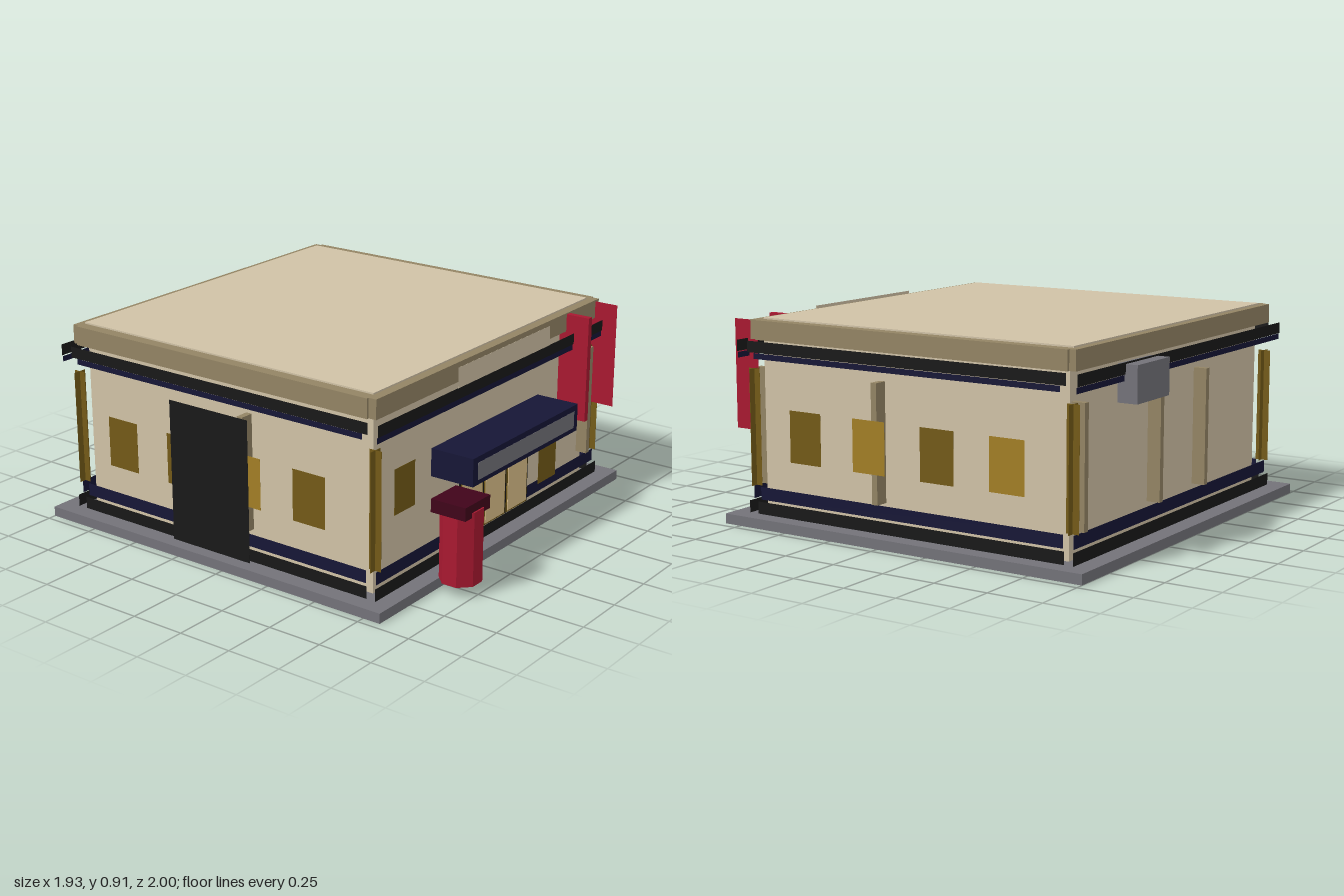
import * as THREE from 'three';

const mat = (name, color) => {
  const m = new THREE.MeshStandardMaterial({ color });
  m.name = name;
  return m;
};

export function createModel() {
  const beige = mat('beige render', 0xd0c2a6);
  const stone = mat('brown stone', 0x938464);
  const grey = mat('concrete grey', 0x737279);
  const black = mat('black trim', 0x181818);
  const navy = mat('navy trim', 0x161636);
  const red = mat('red sign', 0xa81830);
  const maroon = mat('maroon cap', 0x40041a);
  const gold = mat('dark gold', 0x735a17);
  const lit = mat('lit window gold', 0xa27e25);
  const tan = mat('door glass tan', 0xdcbf8a);

  const model = new THREE.Group();
  model.name = 'storeBuilding';

  // Box given by its extents
  const box = (name, m, x0, x1, y0, y1, z0, z1) => {
    const mesh = new THREE.Mesh(new THREE.BoxGeometry(x1 - x0, y1 - y0, z1 - z0), m);
    mesh.position.set((x0 + x1) / 2, (y0 + y1) / 2, (z0 + z1) / 2);
    mesh.name = name;
    model.add(mesh);
  };
  // Very thin plates facing z or x
  const T = 0.0003;
  const plateZ = (name, m, x0, x1, y0, y1, z) => box(name, m, x0, x1, y0, y1, z - T, z + T);
  const plateX = (name, m, x, y0, y1, z0, z1) => box(name, m, x - T, x + T, y0, y1, z0, z1);
  const CZ = -0.08; // building centre in z

  // Four plates round the building: half widths hx, hz and offsets ox, oz
  const ring = (name, m, y0, y1, hx, hz, ox, oz) => {
    for (const s of [-1, 1]) {
      plateZ(name + (s > 0 ? 'Front' : 'Back'), m, -hx, hx, y0, y1, CZ + s * oz);
      plateX(name + (s > 0 ? 'Left' : 'Right'), m, s * ox, y0, y1, CZ - hz, CZ + hz);
    }
  };

  // Ground slab, walls and trim bands
  box('groundSlab', grey, -0.963, 0.963, 0, 0.045, -1, 0.833);
  box('walls', beige, -0.83, 0.83, 0.045, 0.9, -0.86, 0.702);
  ring('plinth', black, 0.045, 0.1, 0.888, 0.79, 0.885, 0.835);
  ring('lowerBand', navy, 0.108, 0.165, 0.868, 0.78, 0.875, 0.825);
  ring('upperBand', navy, 0.74, 0.765, 0.914, 0.78, 0.905, 0.86);
  ring('cornice', black, 0.768, 0.818, 0.914, 0.81, 0.91, 0.865);

  // Parapet and roof
  box('parapet', stone, -0.87, 0.87, 0.82, 0.906, -0.91, 0.744);
  box('parapetSides', stone, -0.882, 0.882, 0.82, 0.906, -0.88, 0.707);
  box('roof', beige, -0.83, 0.83, 0.9, 0.913, -0.877, 0.702);
  plateZ('parapetSign', beige, -0.362, 0.36, 0.82, 0.91, 0.79);

  // Corner pilasters, each of two crossed plates
  for (const sx of [-1, 1]) for (const sz of [-1, 1]) {
    const x = sx * 0.861, z = CZ + sz * 0.815;
    plateZ('pilasterAcross', gold, x - 0.033, x + 0.033, 0.168, 0.69, z);
    plateX('pilasterAlong', gold, x, 0.168, 0.69, z - 0.03, z + 0.03);
  }

  // Downpipes
  for (const x of [-0.232, 0.18, 0.803]) box('downpipeBack', stone, x - 0.014, x + 0.014, 0.168, 0.69, -0.922, -0.86);
  box('downpipeFront', stone, 0.789, 0.817, 0.168, 0.69, 0.7, 0.757);
  for (const s of [-1, 1]) box('downpipeSide', stone, s * 0.861 - 0.031, s * 0.861 + 0.031, 0.168, 0.69, 0.045, 0.073);

  // Windows
  [0.425, 0.085, -0.265, -0.608].forEach((z, i) => {
    for (const s of [-1, 1]) {
      const bright = i === 1 || (i === 3 && s > 0);
      plateX('sideWindow', bright ? lit : gold, s * 0.897, 0.3, 0.53, z - 0.084, z + 0.084);
    }
  });
  plateZ('frontWindowHigh', gold, -0.78, -0.637, 0.39, 0.59, 0.77);
  plateZ('frontWindowLow', gold, 0.335, 0.485, 0.163, 0.38, 0.77);

  // Entrance doors
  box('doorFrame', black, -0.278, 0.273, 0.1, 0.397, 0.748, 0.752);
  for (const x of [-0.184, -0.002, 0.18]) {
    box('doorLeaf', gold, x - 0.084, x + 0.084, 0.103, 0.386, 0.75, 0.755);
    box('doorGlass', tan, x - 0.077, x + 0.077, 0.11, 0.38, 0.753, 0.758);
  }

  // Canopy with sign face
  box('canopy', navy, -0.422, 0.42, 0.43, 0.555, 0.7, 0.911);
  plateZ('canopySign', grey, -0.39, 0.387, 0.452, 0.53, 0.914);

  // Dark shutter on the right side
  plateX('sideShutter', black, -0.905, 0.045, 0.69, -0.32, 0.11);

  // Wall unit on the back
  box('airUnit', grey, 0.27, 0.54, 0.65, 0.81, -1, -0.908);

  // Projecting blade signs
  box('bladeSign', red, 0.582, 0.61, 0.41, 0.9, 0.71, 0.858);
  plateX('bladeSignThin', red, 0.84, 0.41, 0.9, 0.73, 0.858);

  // Octagonal red post with square cap
  const r = 0.085 / Math.cos(Math.PI / 8);
  const geo = new THREE.CylinderGeometry(r, r, 0.33, 8).toNonIndexed();
  geo.rotateY(Math.PI / 8);
  geo.computeVertexNormals();
  const post = new THREE.Mesh(geo, red);
  post.name = 'signPost';
  post.position.set(-0.507, 0.215, 0.915);
  model.add(post);
  box('signPostCap', maroon, -0.598, -0.416, 0.358, 0.417, 0.823, 0.993);

  return model;
}
